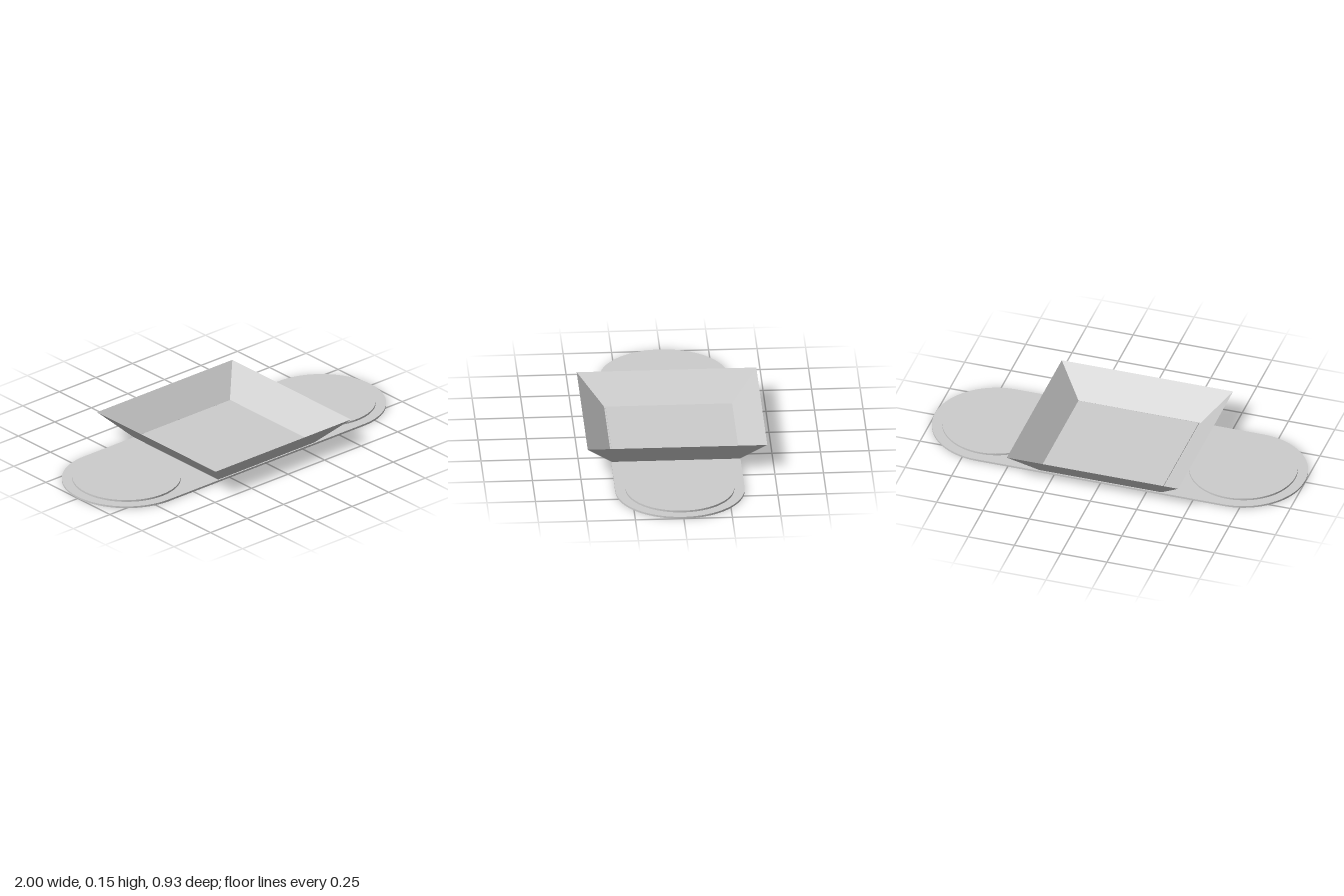
import * as THREE from 'three';

export function createModel() {
  const model = new THREE.Group();
  const grey = new THREE.MeshStandardMaterial({ color: 0xcccccc });
  grey.name = 'light grey';
  const sheet = grey; // one colour throughout
  sheet.side = THREE.DoubleSide;

  const add = (name, geometry, x, y, z) => {
    const mesh = new THREE.Mesh(geometry, grey);
    mesh.name = name;
    mesh.position.set(x, y, z);
    model.add(mesh);
    return mesh;
  };

  // Rounded-end base plate
  const R = 0.333, cx = 1 - R;
  const outline = new THREE.Shape();
  outline.moveTo(-cx, -R);
  outline.lineTo(cx, -R);
  outline.absarc(cx, 0, R, -Math.PI / 2, Math.PI / 2, false);
  outline.lineTo(-cx, R);
  outline.absarc(-cx, 0, R, Math.PI / 2, Math.PI * 1.5, false);
  const plate = new THREE.ExtrudeGeometry(outline, { depth: 0.01, bevelEnabled: false, curveSegments: 32 });
  plate.rotateX(-Math.PI / 2);
  add('basePlate', plate, 0, 0, 0);

  // Raised disc at each end
  for (const side of [-1, 1]) {
    add(side > 0 ? 'leftDisc' : 'rightDisc',
      new THREE.CylinderGeometry(0.28, 0.28, 0.01, 64), side * cx, 0.015, 0);
  }

  // Square tray floor
  add('trayFloor', new THREE.BoxGeometry(0.645, 0.005, 0.645), 0, 0.0125, 0);

  // Flared thin tray walls, an open four-sided funnel
  const bottom = 0.013, top = 0.15;
  const walls = new THREE.CylinderGeometry(
    0.463 * Math.SQRT2, 0.33 * Math.SQRT2, top - bottom, 4, 1, true, Math.PI / 4).toNonIndexed();
  walls.computeVertexNormals();
  add('trayWalls', walls, 0, (top + bottom) / 2, 0);

  return model;
}
